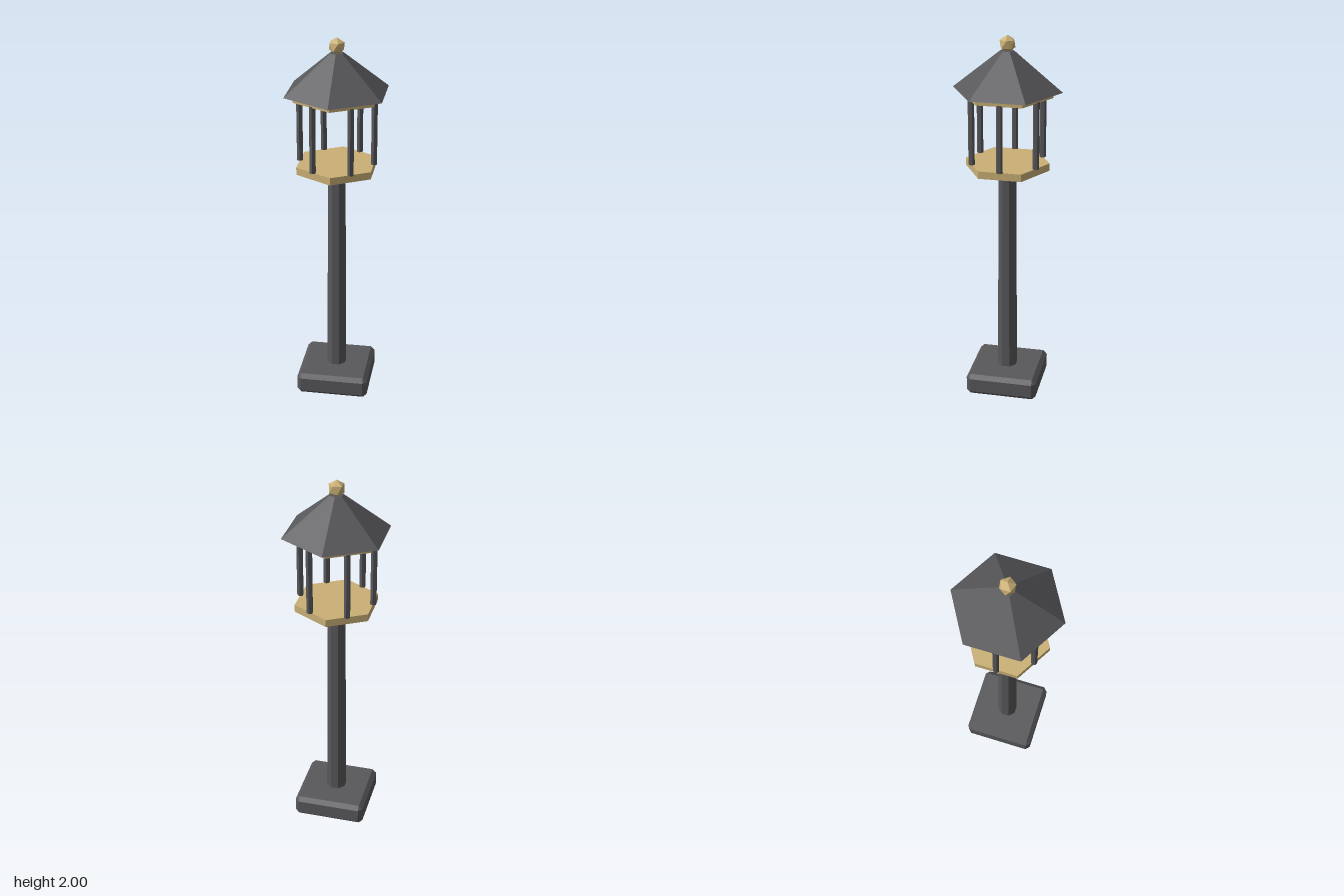
import * as THREE from 'three';
import { ConvexGeometry } from 'three/addons/geometries/ConvexGeometry.js';

export function createModel() {
  const model = new THREE.Group();
  model.name = 'lampPost';

  const iron = new THREE.MeshStandardMaterial({ color: 0x58585b });
  iron.name = 'dark iron';
  const brass = new THREE.MeshStandardMaterial({ color: 0xcbb076 });
  brass.name = 'pale brass';

  // Adds a part with crisp, flat-shaded faces
  function add(name, geometry, material, parent = model) {
    const flat = geometry.index ? geometry.toNonIndexed() : geometry;
    flat.computeVertexNormals();
    const mesh = new THREE.Mesh(flat, material);
    mesh.name = name;
    parent.add(mesh);
    return mesh;
  }

  // Upright prism or frustum between two heights
  function prism(y0, y1, r0, r1, sides) {
    return new THREE.CylinderGeometry(r1, r0, y1 - y0, sides).translate(0, (y0 + y1) / 2, 0);
  }

  // Base: square block with every edge chamfered
  const half = [0.195, 0.06, 0.195], bevel = 0.022;
  const corners = [];
  for (const sx of [-1, 1]) for (const sy of [-1, 1]) for (const sz of [-1, 1]) {
    for (let axis = 0; axis < 3; axis++) {
      const p = half.map((h, i) => (i === axis ? h : h - bevel));
      corners.push(new THREE.Vector3(sx * p[0], sy * p[1], sz * p[2]));
    }
  }
  add('base', new ConvexGeometry(corners).translate(0, 0.06, 0), iron);

  // Slightly tapered octagonal pole
  add('pole', prism(0.1, 1.3, 0.055, 0.047, 8).rotateY(Math.PI / 8), iron);

  // Lantern: hexagonal floor and ceiling plates
  add('lanternFloor', prism(1.29, 1.33, 0.225, 0.225, 6), brass);
  add('lanternCeiling', prism(1.685, 1.718, 0.24, 0.24, 6), brass);

  // Six slim posts at the middle of each plate edge
  const posts = new THREE.Group();
  posts.name = 'lanternPosts';
  model.add(posts);
  for (let i = 0; i < 6; i++) {
    const a = (i * Math.PI) / 3;
    const post = add('lanternPost', prism(1.33, 1.69, 0.017, 0.017, 6), iron, posts);
    post.position.set(0.196 * Math.cos(a), 0, 0.196 * Math.sin(a));
  }

  // Hexagonal roof with a small flat top
  add('roof', prism(1.715, 1.92, 0.288, 0.036, 6), iron);

  // Faceted ball finial standing on one of its vertices
  const tilt = Math.atan(2 / (1 + Math.sqrt(5)));
  add('finial', new THREE.IcosahedronGeometry(0.045, 0).rotateZ(-tilt).translate(0, 1.955, 0), brass);

  return model;
}
